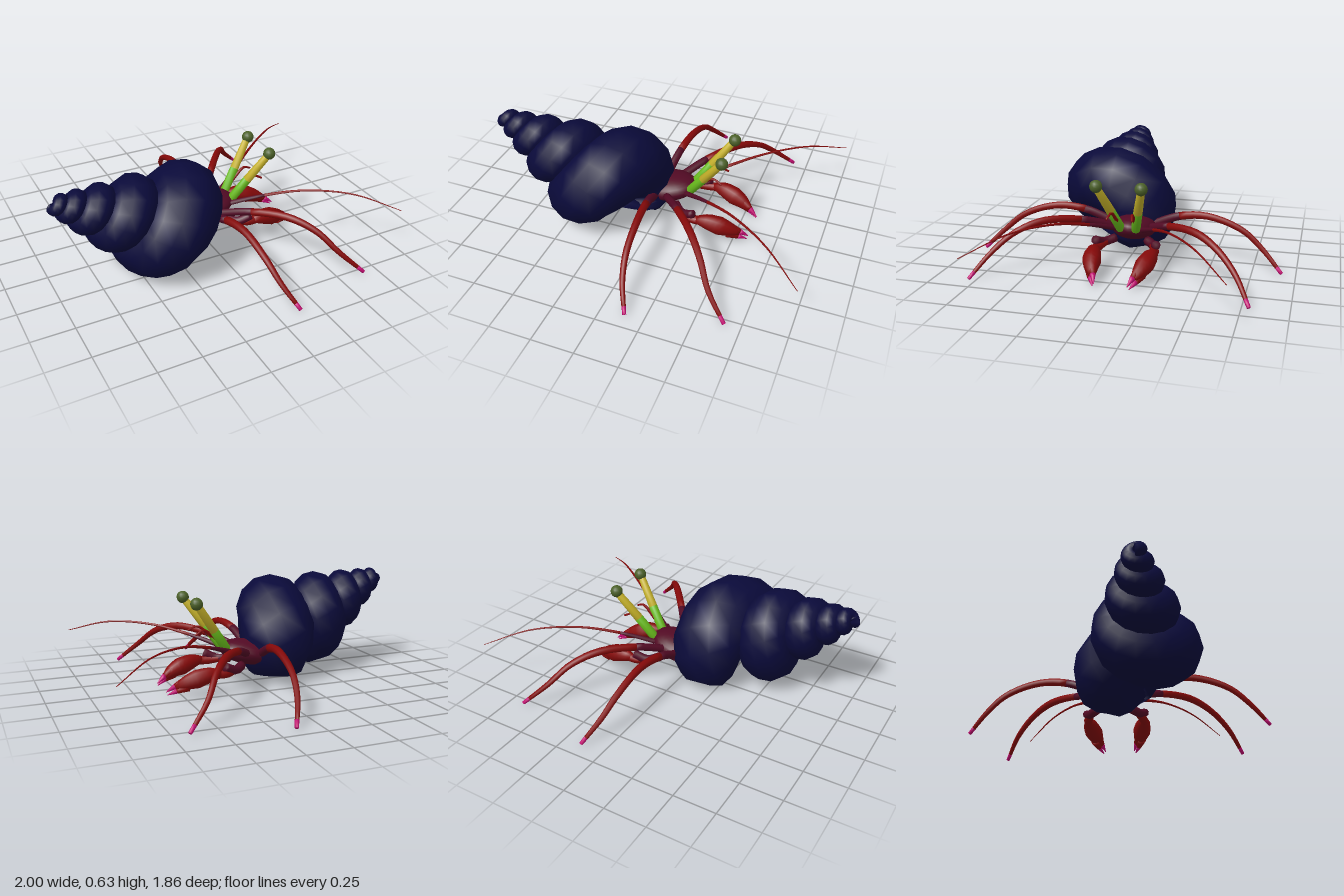
import * as THREE from 'three';

const mat = (name, color, side = THREE.FrontSide) => {
  const m = new THREE.MeshStandardMaterial({ color, side });
  m.name = name;
  return m;
};
const V = (x, y, z) => new THREE.Vector3(x, y, z);
const MID = -0.022; // the crab's own middle plane

// Skin a list of rings (arrays of Vector3 with equal length), smooth normals
function loft(rings) {
  const n = rings[0].length, pos = [], idx = [];
  rings.forEach((r) => r.forEach((p) => pos.push(p.x, p.y, p.z)));
  for (let i = 0; i < rings.length - 1; i++) {
    for (let j = 0; j < n; j++) {
      const a = i * n + j, b = i * n + (j + 1) % n;
      idx.push(a, b, a + n, b, b + n, a + n);
    }
  }
  const g = new THREE.BufferGeometry();
  g.setAttribute('position', new THREE.Float32BufferAttribute(pos, 3));
  g.setIndex(idx);
  g.computeVertexNormals();
  return g;
}

const ring = (c, e, f, r, n) => Array.from({ length: n }, (_, j) => {
  const a = (j / n) * Math.PI * 2;
  return c.clone().addScaledVector(e, Math.cos(a) * r).addScaledVector(f, Math.sin(a) * r);
});

// Tapered limb through points [x, y, z, radius], capped at both ends
function limb(points, t0 = 0, t1 = 1, steps = 10, sides = 8) {
  const curve = new THREE.CatmullRomCurve3(points.map((p) => V(p[0], p[1], p[2])));
  const N = 40, frames = curve.computeFrenetFrames(N);
  const radius = (t) => {
    const k = Math.min(t * (points.length - 1), points.length - 1.0001), i = Math.floor(k);
    return THREE.MathUtils.lerp(points[i][3], points[i + 1][3], k - i);
  };
  const rings = [];
  for (let i = 0; i <= steps; i++) {
    const t = t0 + (t1 - t0) * (i / steps), k = Math.round(t * N);
    const make = (r) => ring(curve.getPoint(t), frames.normals[k], frames.binormals[k], r, sides);
    if (i === 0) rings.push(make(0));
    rings.push(make(radius(t)));
    if (i === steps) rings.push(make(0));
  }
  return loft(rings);
}

// Shell: a tube wound on a growing spiral around a tilted axis
function shellGeometry() {
  const origin = V(-1.08, 0.635, 0.178);
  const d = V(0.906, -0.423, 0), u = V(0.423, 0.906, 0);
  const growth = 1.53, perTurn = 15, sides = 13;
  const start = Math.PI / 2 - 4.75 * Math.PI * 2, end = Math.PI / 2 + 0.65;
  const steps = Math.round(((end - start) / (Math.PI * 2)) * perTurn);
  const rings = [];
  for (let i = 0; i <= steps; i++) {
    const th = start + ((end - start) * i) / steps;
    const a = Math.pow(growth, (th - Math.PI / 2) / (Math.PI * 2));
    const e = u.clone().multiplyScalar(Math.cos(th)).add(V(0, 0, -Math.sin(th)));
    const c = origin.clone().addScaledVector(d, a).addScaledVector(e, 0.165 * a);
    const lip = 1 - 0.35 * THREE.MathUtils.smoothstep(th, Math.PI / 2 - 0.1, end);
    if (i === 0) rings.push(ring(c, e, d, 0, sides));
    rings.push(ring(c, e, d, 0.264 * a * lip, sides));
    if (i === steps) rings.push(ring(c, e, d, 0, sides));
  }
  // the underside rests level
  rings.forEach((r) => r.forEach((p) => { p.y = Math.max(p.y, 0.03); }));
  return loft(rings);
}

export function createModel() {
  const model = new THREE.Group();
  model.name = 'hermitCrab';
  const navy = mat('shell navy', 0x0a0a3a, THREE.DoubleSide);
  const maroon = mat('body maroon', 0x520a24);
  const red = mat('limb red', 0x850909);
  const pink = mat('tip pink', 0xc40d72);
  const green = mat('stalk green', 0x68ba1c);
  const yellow = mat('stalk yellow', 0xc6b22a);
  const olive = mat('eye olive', 0x4b6028);

  const add = (name, geo, material, parent = model) => {
    const m = new THREE.Mesh(geo, material);
    m.name = name;
    parent.add(m);
    return m;
  };

  add('shell', shellGeometry(), navy);

  // Body
  const body = add('body', new THREE.SphereGeometry(1, 20, 14), maroon);
  body.scale.set(0.18, 0.076, 0.135);
  body.rotation.z = 0.2;
  body.position.set(0.04, 0.195, MID);

  for (const s of [1, -1]) {
    const half = new THREE.Group();
    half.name = s < 0 ? 'rightSide' : 'leftSide';
    model.add(half);
    const side = (pts, mid = MID) => pts.map(([x, y, z, r]) => [x, y, mid + s * z, r]);
    const put = (name, geo, m) => add(name, geo, m, half);

    // Walking legs: dark thigh, red shin, pink tip
    const legs = {
      backLeg: [[-0.01, 0.19, 0.1, 0.027], [0.015, 0.275, 0.3, 0.025], [0.035, 0.29, 0.48, 0.022],
        [0.052, 0.225, 0.68, 0.019], [0.08, 0.13, 0.8, 0.016], [0.14, 0.012, 0.92, 0.011]],
      frontLeg: [[0.07, 0.2, 0.1, 0.025], [0.2, 0.265, 0.27, 0.023], [0.345, 0.285, 0.455, 0.023],
        [0.45, 0.235, 0.59, 0.019], [0.535, 0.135, 0.7, 0.016], [0.66, 0.012, 0.79, 0.011]],
    };
    for (const [name, pts] of Object.entries(legs)) {
      const p = side(pts, 0);
      put(name + 'Thigh', limb(p, 0, 0.2, 6), maroon);
      put(name + 'Shin', limb(p, 0.2, 0.95, 16), red);
      put(name + 'Tip', limb(p, 0.95, 1, 2), pink);
    }

    // Claw: arm, swollen palm and two fingers with small bright points
    put('clawArm', limb(side([[0.12, 0.14, 0.1, 0.028], [0.18, 0.13, 0.155, 0.027],
      [0.26, 0.165, 0.185, 0.026]])), maroon);
    put('clawWrist', limb(side([[0.16, 0.13, 0.135, 0.018], [0.24, 0.12, 0.17, 0.028],
      [0.32, 0.12, 0.178, 0.024]])), red);
    put('clawPalm', limb(side([[0.28, 0.125, 0.178, 0.024], [0.35, 0.12, 0.168, 0.048],
      [0.42, 0.1, 0.155, 0.056], [0.48, 0.08, 0.14, 0.042], [0.53, 0.055, 0.12, 0.02]]), 0, 1, 10, 10), red);
    const upper = side([[0.48, 0.09, 0.135, 0.03], [0.535, 0.06, 0.115, 0.018], [0.585, 0.025, 0.095, 0.002]]);
    const lower = side([[0.47, 0.06, 0.15, 0.03], [0.53, 0.035, 0.13, 0.016], [0.58, 0.01, 0.105, 0.002]]);
    for (const [name, p] of [['upperFinger', upper], ['lowerFinger', lower]]) {
      put(name, limb(p, 0, 0.5, 4), red);
      put(name + 'Tip', limb(p, 0.5, 1, 4), pink);
    }

    // Eye stalk in two colours with a ball on top
    const stalk = side([[0.19, 0.225, 0.045, 0.028], [0.295, 0.375, 0.086, 0.027], [0.4, 0.525, 0.13, 0.022]]);
    put('eyeStalkBase', limb(stalk, 0, 0.45, 2, 10), green);
    put('eyeStalkTop', limb(stalk, 0.45, 1, 2, 10), yellow);
    const eye = put('eye', new THREE.SphereGeometry(0.037, 14, 10), olive);
    eye.position.set(0.405, 0.533, MID + s * 0.13);

    // Long feeler and short feeler
    const feeler = side([[0.15, 0.21, 0.06, 0.018], [0.35, 0.287, 0.19, 0.01], [0.55, 0.34, 0.33, 0.007],
      [0.78, 0.342, 0.505, 0.005], [1, 0.268, 0.69, 0.002]]);
    put('feelerBase', limb(feeler, 0, 0.25, 5, 6), maroon);
    put('feeler', limb(feeler, 0.25, 1, 16, 6), red);
    put('shortFeeler', limb(side([[0.17, 0.22, 0.04, 0.014], [0.27, 0.31, 0.055, 0.011],
      [0.34, 0.362, 0.062, 0.008], [0.395, 0.34, 0.075, 0.006]]), 0, 1, 10, 6), red);
  }
  return model;
}
